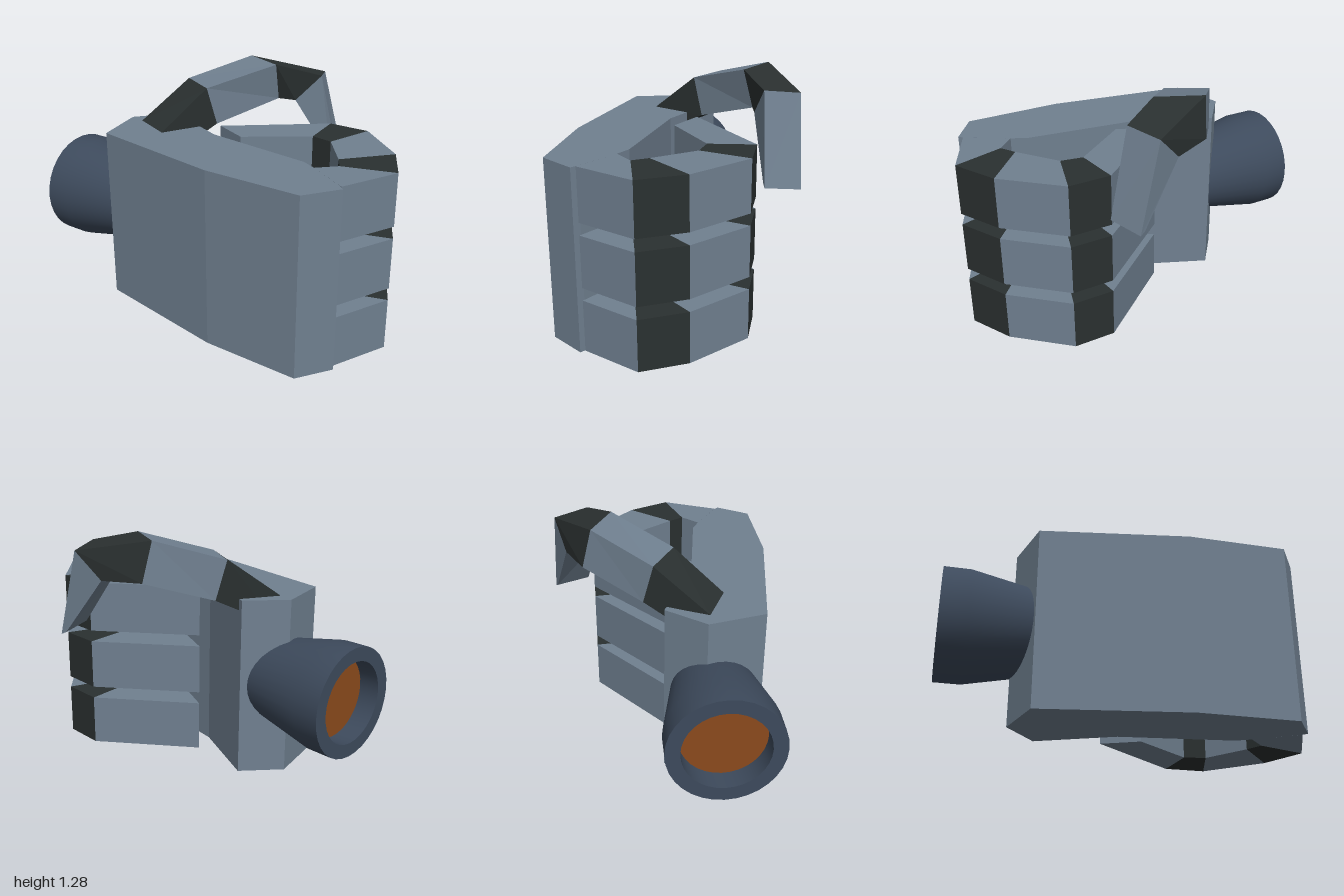
import * as THREE from 'three';
import { toCreasedNormals } from 'three/addons/utils/BufferGeometryUtils.js';

const paint = (color, extra = {}) => new THREE.MeshStandardMaterial({ color, ...extra });

export function createModel() {
  const model = new THREE.Group();
  const plate = paint(0x708090, { flatShading: true });
  const joint = paint(0x2a3030, { flatShading: true });

  const add = (parent, name, geometry, material) => {
    const mesh = new THREE.Mesh(geometry, material);
    mesh.name = name;
    parent.add(mesh);
    return mesh;
  };

  // Upright slab from a plan outline of [x, z] points
  const slab = (outline, y0, y1) => {
    const shape = new THREE.Shape(outline.map(([x, z]) => new THREE.Vector2(x, -z)));
    const g = new THREE.ExtrudeGeometry(shape, { depth: y1 - y0, bevelEnabled: false });
    return g.rotateX(-Math.PI / 2).translate(0, y0, 0);
  };

  // Closed six-sided block between two four-corner rings
  const block = (r0, r1) => {
    const pos = [];
    const quad = (a, b, c, d) => pos.push(...a, ...b, ...c, ...a, ...c, ...d);
    for (let i = 0; i < 4; i++) {
      const j = (i + 1) % 4;
      quad(r0[i], r0[j], r1[j], r1[i]);
    }
    quad(r0[0], r0[3], r0[2], r0[1]);
    quad(r1[0], r1[1], r1[2], r1[3]);
    const g = new THREE.BufferGeometry();
    g.setAttribute('position', new THREE.Float32BufferAttribute(pos, 3));
    g.computeVertexNormals();
    return g;
  };

  // Palm
  add(model, 'palm', slab([
    [-0.62, 0.17], [-0.54, 0.47], [0.23, 0.6], [0.76, 0.6], [0.88, 0.425],
    [0.85, 0.4], [0.64, 0.27], [0.56, 0.23], [-0.05, 0.15], [-0.46, -0.03],
  ], 0, 0.97), plate);

  // Three curled fingers, plates alternating with dark joints
  const outer = [[0.86, 0.405], [1, 0.1], [0.88, -0.13], [0.6, -0.38], [0.37, -0.38], [-0.11, 0.01]];
  const inner = [[0.64, 0.27], [0.73, 0.18], [0.68, 0.1], [0.52, -0.11], [0.4, -0.13], [0.09, 0.1]];
  [[0, 0.28], [0.348, 0.625], [0.69, 0.97]].forEach(([y0, y1], f) => {
    const finger = new THREE.Group();
    finger.name = `finger${f + 1}`;
    for (let i = 0; i < 5; i++) {
      const outline = [outer[i], outer[i + 1], inner[i + 1], inner[i]];
      add(finger, i % 2 ? 'fingerJoint' : 'fingerPlate', slab(outline, y0, y1), i % 2 ? joint : plate);
    }
    model.add(finger);
  });

  // Arched thumb, base sunk into the palm
  const rings = [
    [[-0.53, 0.97, 0.19], [-0.3, 0.97, 0.29], [-0.3, 0.8, 0.29], [-0.53, 0.8, 0.19]],
    [[-0.4, 1.18, -0.08], [-0.18, 1.18, 0.04], [-0.15, 0.97, -0.01], [-0.37, 0.97, -0.13]],
    [[-0.17, 1.285, -0.38], [0.07, 1.285, -0.27], [0.06, 1.08, -0.32], [-0.15, 1.07, -0.43]],
    [[0.21, 1.205, -0.58], [0.29, 1.228, -0.4], [0.16, 1.08, -0.34], [0.07, 1.06, -0.52]],
    [[0.33, 0.73, -0.605], [0.4, 0.75, -0.425], [0.36, 0.76, -0.415], [0.3, 0.745, -0.595]],
  ];
  const thumb = new THREE.Group();
  thumb.name = 'thumb';
  for (let i = 0; i < 4; i++) {
    add(thumb, i % 2 ? 'thumbPlate' : 'thumbJoint', block(rings[i], rings[i + 1]), i % 2 ? plate : joint);
  }
  model.add(thumb);

  // Hollow wrist cuff, turned about the x axis
  const profile = [[0, 0.48], [0.22, 0.48], [0.295, 0.86], [0.295, 1], [0.22, 1], [0.22, 0.87]];
  const cuff = new THREE.LatheGeometry(profile.map(p => new THREE.Vector2(...p)), 32);
  const wrist = add(model, 'wristCuff', toCreasedNormals(cuff, 0.5).rotateZ(Math.PI / 2), paint(0x3d4a5c));
  wrist.position.set(0, 0.5, 0.22);

  // Socket disc inside the cuff
  const disc = add(model, 'wristSocket', new THREE.CylinderGeometry(0.222, 0.222, 0.02, 32).rotateZ(Math.PI / 2), paint(0x8b4a1c));
  disc.position.set(-0.88, 0.5, 0.22);

  return model;
}
